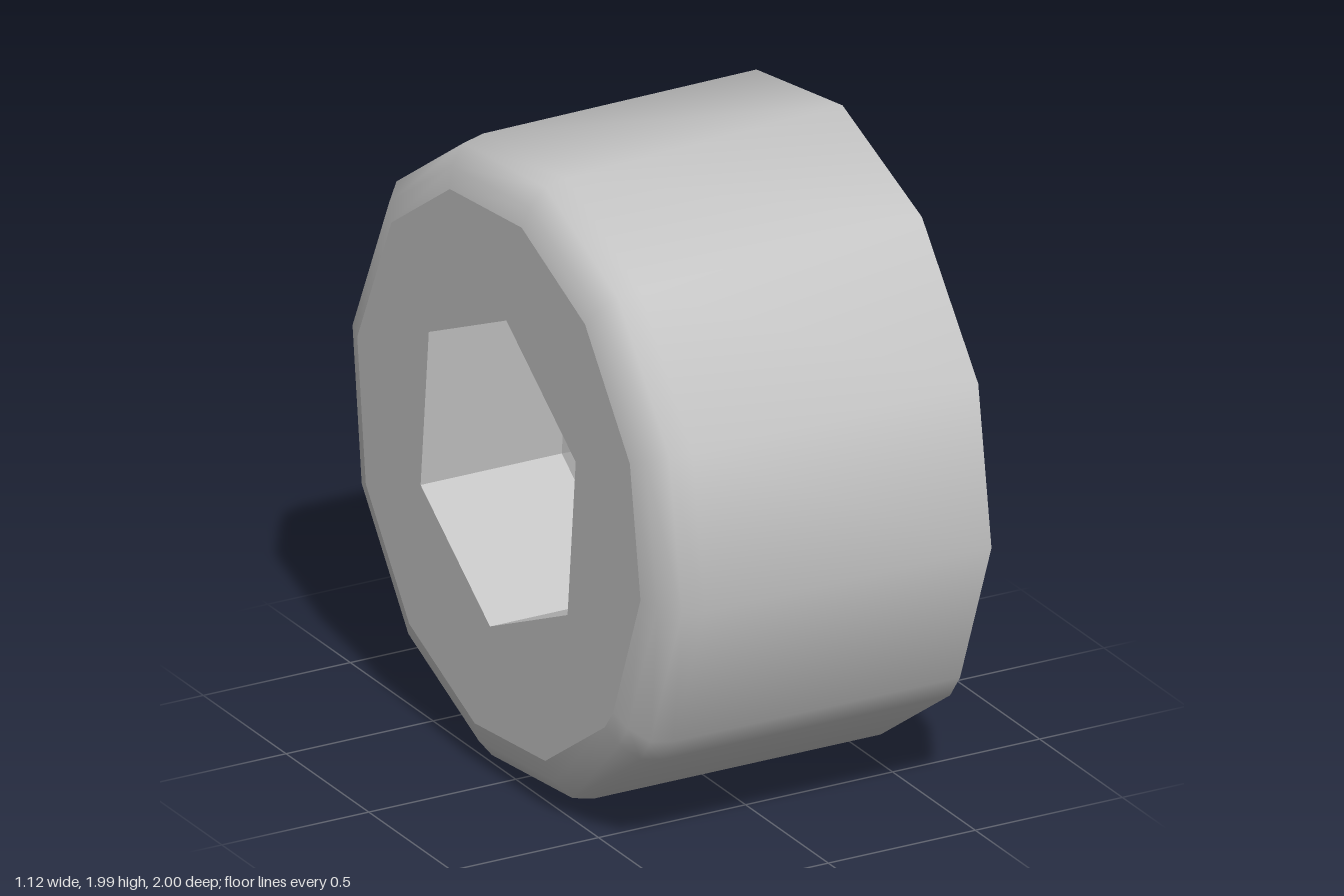
import * as THREE from 'three';
import { toCreasedNormals } from 'three/addons/utils/BufferGeometryUtils.js';

// Outline of the flat end and of the bevelled end, as [z, y - 1], 13 corners each
const BASE = [
  [0.1, 0.99], [-0.42, 0.91], [-0.82, 0.58], [-1, 0.1], [-0.93, -0.39], [-0.625, -0.8], [-0.165, -1],
  [0.33, -0.955], [0.75, -0.67], [0.81, -0.59], [1, -0.1], [0.92, 0.4], [0.58, 0.81],
];
const RIM = BASE.map((p) => p.slice());
RIM[0] = [0.165, 0.985];
RIM[1] = [-0.34, 0.94];
RIM[2] = [-0.75, 0.66];
RIM[3] = [-0.99, 0.14];
RIM[11] = [0.925, 0.385];
RIM[12] = [0.61, 0.79];

const HEX = Array.from({ length: 6 }, (_, i) => {
  const a = THREE.MathUtils.degToRad(24.5 + 60 * i);
  return [0.515 * Math.cos(a), 0.515 * Math.sin(a)];
});

// A cross-section: outline scaled by s, at distance h along the axis
const ring = (outline, s, h) => outline.map(([u, v]) => [u * s, v * s, h]);

// Skin between successive cross-sections
function loft(rings, crease) {
  const n = rings[0].length;
  const index = [];
  for (let r = 0; r < rings.length - 1; r++) {
    for (let i = 0; i < n; i++) {
      const j = (i + 1) % n;
      const a = r * n + i, b = r * n + j, c = (r + 1) * n + j, d = (r + 1) * n + i;
      index.push(a, b, c, a, c, d);
    }
  }
  const g = new THREE.BufferGeometry();
  g.setAttribute('position', new THREE.Float32BufferAttribute(rings.flat(2), 3));
  g.setIndex(index);
  return toCreasedNormals(g, crease);
}

export function createModel() {
  const steel = new THREE.MeshStandardMaterial({ color: 0xc4c4c4 });
  steel.name = 'light grey steel';

  const head = new THREE.Group();
  head.name = 'socketHead';
  const add = (name, geometry) => {
    const mesh = new THREE.Mesh(geometry, steel);
    mesh.name = name;
    head.add(mesh);
  };

  // Side wall with a rounded bevel at the socket end
  add('sideWall', loft([
    ring(BASE, 1, -0.555), ring(RIM, 1, 0.42), ring(RIM, 0.985, 0.49),
    ring(RIM, 0.925, 0.54), ring(RIM, 0.86, 0.56),
  ], 0.9));

  // Plain flat end
  add('flatEnd', loft([ring(BASE, 0, -0.555), ring(BASE, 1, -0.555)], 0.1));

  // Socket end face with a hexagonal opening
  const vec = (pts, s) => pts.map(([u, v]) => new THREE.Vector2(u * s, v * s));
  const face = new THREE.Shape(vec(RIM, 0.86));
  face.holes.push(new THREE.Path(vec(HEX, 1)));
  add('socketFace', new THREE.ShapeGeometry(face).translate(0, 0, 0.56));

  // Hexagonal socket walls and shallow conical floor
  add('socketWalls', loft([ring(HEX, 1, 0.56), ring(HEX, 1, 0.08)], 0.1));
  add('socketFloor', loft([ring(HEX, 1, 0.08), ring(HEX, 0, -0.06)], 0.1));

  // Lay the axis along x with the socket facing -x
  head.rotation.y = -Math.PI / 2;
  head.position.y = 1;
  const model = new THREE.Group();
  model.name = 'hexSocketBoltHead';
  model.add(head);
  return model;
}
